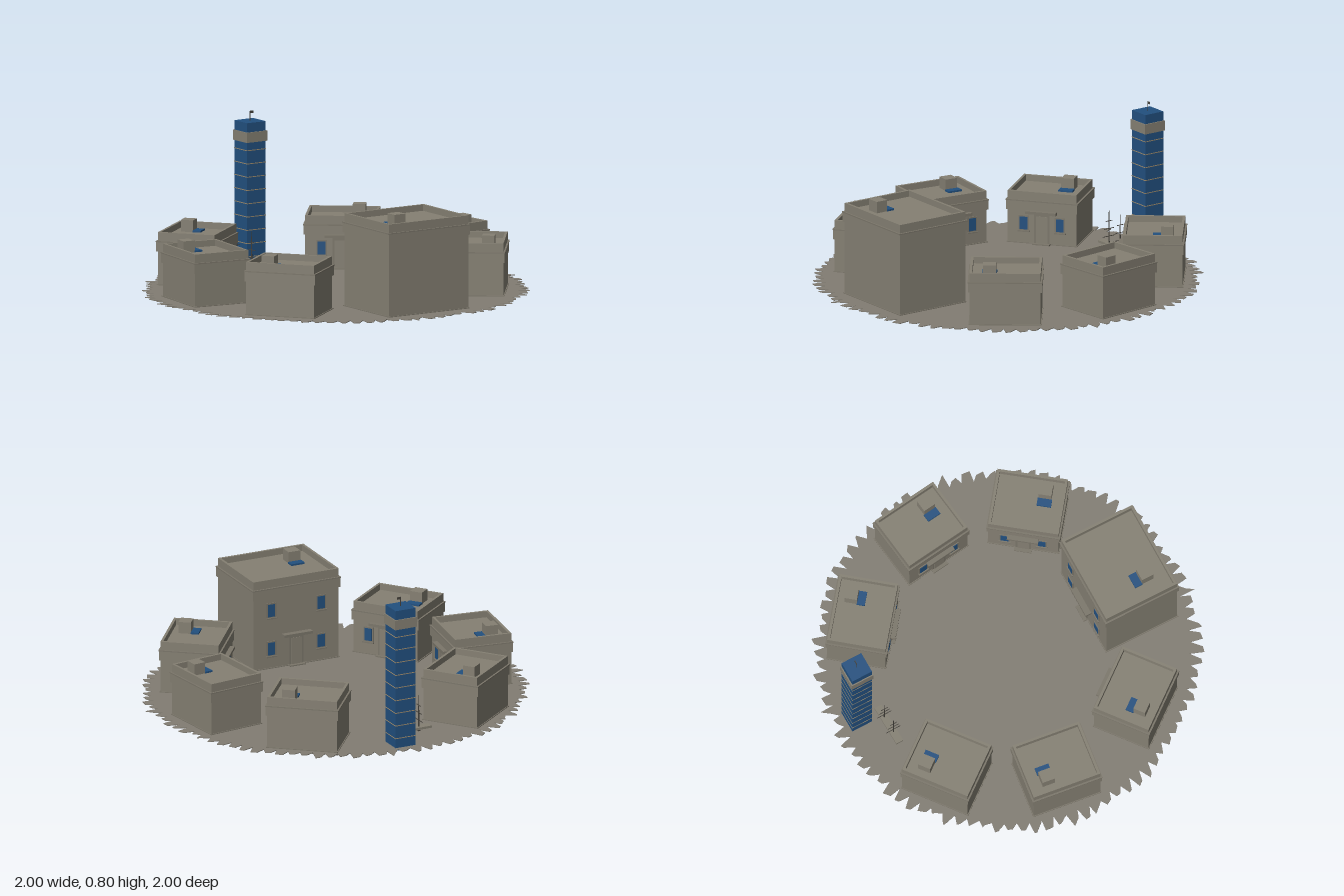
import * as THREE from 'three';

const mat = (name, color, side = THREE.FrontSide) => {
  const m = new THREE.MeshStandardMaterial({ color, side });
  m.name = name;
  return m;
};

export function createModel() {
  const wall = mat('wall stone', 0x858073);
  const earth = mat('ground earth', 0x827d73);
  const trim = mat('trim stone', 0x7b766a);
  const blue = mat('blue glass', 0x22507f);
  const tan = mat('tan stripe', 0x9c8a6c);
  const dark = mat('dark metal', 0x45423c);

  const model = new THREE.Group();
  model.name = 'village';

  const add = (parent, name, geometry, material, x = 0, y = 0, z = 0) => {
    const mesh = new THREE.Mesh(geometry, material);
    mesh.name = name;
    mesh.position.set(x, y, z);
    parent.add(mesh);
    return mesh;
  };
  // Box given by its width, height, depth and the centre of its base
  const box = (parent, name, material, w, h, d, x, y, z) =>
    add(parent, name, new THREE.BoxGeometry(w, h, d), material, x, y + h / 2, z);
  // Group placed on the ground and turned so its local +z looks along (fx, fz)
  const place = (name, x, z, fx, fz) => {
    const g = new THREE.Group();
    g.name = name;
    g.position.set(x, 0, z);
    g.rotation.y = Math.atan2(fx, fz);
    model.add(g);
    return g;
  };
  // Hollow rectangular frame lying flat, extruded upwards
  const ring = (w, d, t, h) => {
    const rect = (P, a, b) => {
      const p = new P();
      p.moveTo(-a, -b);
      p.lineTo(a, -b);
      p.lineTo(a, b);
      p.lineTo(-a, b);
      p.closePath();
      return p;
    };
    const s = rect(THREE.Shape, w / 2, d / 2);
    s.holes.push(rect(THREE.Path, w / 2 - t, d / 2 - t));
    return new THREE.ExtrudeGeometry(s, { depth: h, bevelEnabled: false }).rotateX(-Math.PI / 2);
  };

  // Ground disc with a ragged, saw-toothed edge
  let seed = 11;
  const rnd = () => (seed = (seed * 16807) % 2147483647) / 2147483647;
  const edge = [];
  const teeth = 92;
  const polar = (r, a) => edge.push(new THREE.Vector2(Math.cos(a) * r, Math.sin(a) * r));
  for (let i = 0; i < teeth; i++) {
    const step = (Math.PI * 2) / teeth;
    const a = i * step;
    const tip = 0.955 + rnd() * 0.04;
    polar(0.915 + rnd() * 0.02, a);
    polar(tip, a + step * (0.15 + rnd() * 0.2));
    polar(tip - 0.015 * rnd(), a + step * (0.4 + rnd() * 0.45));
  }
  for (let i = 0; i < 4; i++) polar(1, 0), edge.pop();
  // Four tips reach the full radius
  [0, 23, 46, 69].forEach((i) => edge[i * 3 + 1].setLength(1));
  const disc = new THREE.ExtrudeGeometry(new THREE.Shape(edge), { depth: 0.004, bevelEnabled: false });
  add(model, 'ground', disc.rotateX(-Math.PI / 2), earth, 0, 0.01, 0);

  const windowAt = (g, x, y, z) => {
    box(g, 'windowFrame', trim, 0.054, 0.08, 0.008, x, y - 0.04, z);
    box(g, 'windowPane', blue, 0.04, 0.066, 0.004, x, y - 0.033, z + 0.004);
    box(g, 'windowSill', trim, 0.06, 0.007, 0.018, x, y - 0.045, z + 0.002);
  };

  const house = (name, x, z, fx, fz, w, d, h, windowX, floors, hatch) => {
    const g = place(name, x, z, fx, fz);
    const roof = h - 0.032;
    const front = d / 2;
    box(g, 'walls', wall, w, roof, d, 0, 0, 0);
    box(g, 'plinth', trim, w + 0.01, 0.018, d + 0.01, 0, 0, 0);
    add(g, 'parapet', ring(w, d, 0.013, h - roof), wall, 0, roof, 0);
    add(g, 'cornice', ring(w + 0.014, d + 0.014, 0.01, 0.052), wall, 0, h - 0.098, 0);
    add(g, 'corniceLip', ring(w + 0.018, d + 0.018, 0.012, 0.006), trim, 0, h - 0.05, 0);

    // Door with frame, step and canopy
    box(g, 'doorFrame', trim, 0.08, 0.162, 0.01, 0, 0.01, front);
    box(g, 'door', wall, 0.06, 0.145, 0.006, 0, 0.015, front + 0.004);
    box(g, 'doorStep', trim, 0.09, 0.02, 0.03, 0, 0, front + 0.01);
    box(g, 'canopy', trim, 0.16, 0.014, 0.035, 0, 0.176, front + 0.014);

    for (let f = 0; f < floors; f++)
      for (const s of [-1, 1]) windowAt(g, s * windowX, 0.12 + f * 0.205, front);

    // Rooftop hut with a blue hatch in front of it
    box(g, 'roofHut', wall, 0.066, 0.06, 0.064, hatch[0], roof, hatch[1]);
    box(g, 'roofHatch', blue, 0.074, 0.009, 0.042, hatch[0], roof, hatch[1] + 0.052);
  };

  // Small houses in a circle: centre, then facing direction
  const small = [
    [0.336, -0.66, -0.48, 0.88],
    [0.69, -0.23, -0.955, 0.29],
    [0.632, 0.32, -0.885, -0.465],
    [-0.49, 0.516, 0.67, -0.74],
    [-0.727, 0.016, 1, -0.045],
    [-0.54, -0.505, 0.74, 0.67],
  ];
  small.forEach(([x, z, fx, fz], i) =>
    house('house' + (i + 1), x, z, fx, fz, 0.36, 0.3, 0.285, 0.095, 1, [0.08, -0.07]));
  house('tallHouse', 0.108, 0.63, -0.166, -0.986, 0.48, 0.405, 0.49, 0.14, 2, [0.116, -0.083]);

  // Blue tower with thin floor stripes and a stone band
  const tower = place('tower', -0.098, -0.836, 0.18, 0.98);
  box(tower, 'towerShaft', blue, 0.113, 0.75, 0.113, 0, 0, 0);
  for (let i = 0; i < 9; i++)
    box(tower, 'floorStripe', tan, 0.116, 0.004, 0.116, 0, 0.063 + i * 0.068, 0);
  box(tower, 'towerBand', wall, 0.125, 0.052, 0.125, 0, 0.65, 0);
  add(tower, 'flagPole', new THREE.CylinderGeometry(0.002, 0.002, 0.05, 6), dark, 0, 0.775, 0);
  box(tower, 'flag', dark, 0.02, 0.012, 0.003, 0.01, 0.788, 0);

  // Raised platform carrying two masts with crossbars
  const rack = place('mastPlatform', -0.193, -0.697, 0.2, 0.98);
  box(rack, 'platform', wall, 0.22, 0.012, 0.04, 0, 0.026, 0);
  for (const s of [-1, 1]) {
    const x = s * 0.046;
    box(rack, 'foot', dark, 0.012, 0.028, 0.012, x, 0, 0);
    add(rack, 'mast', new THREE.CylinderGeometry(0.0015, 0.004, 0.17, 6), dark, x, 0.12, 0);
    for (let k = 0; k < 3; k++)
      box(rack, 'crossbar', dark, 0.003, 0.003, 0.08 - k * 0.02, x, 0.07 + k * 0.04, 0);
  }
  return model;
}
